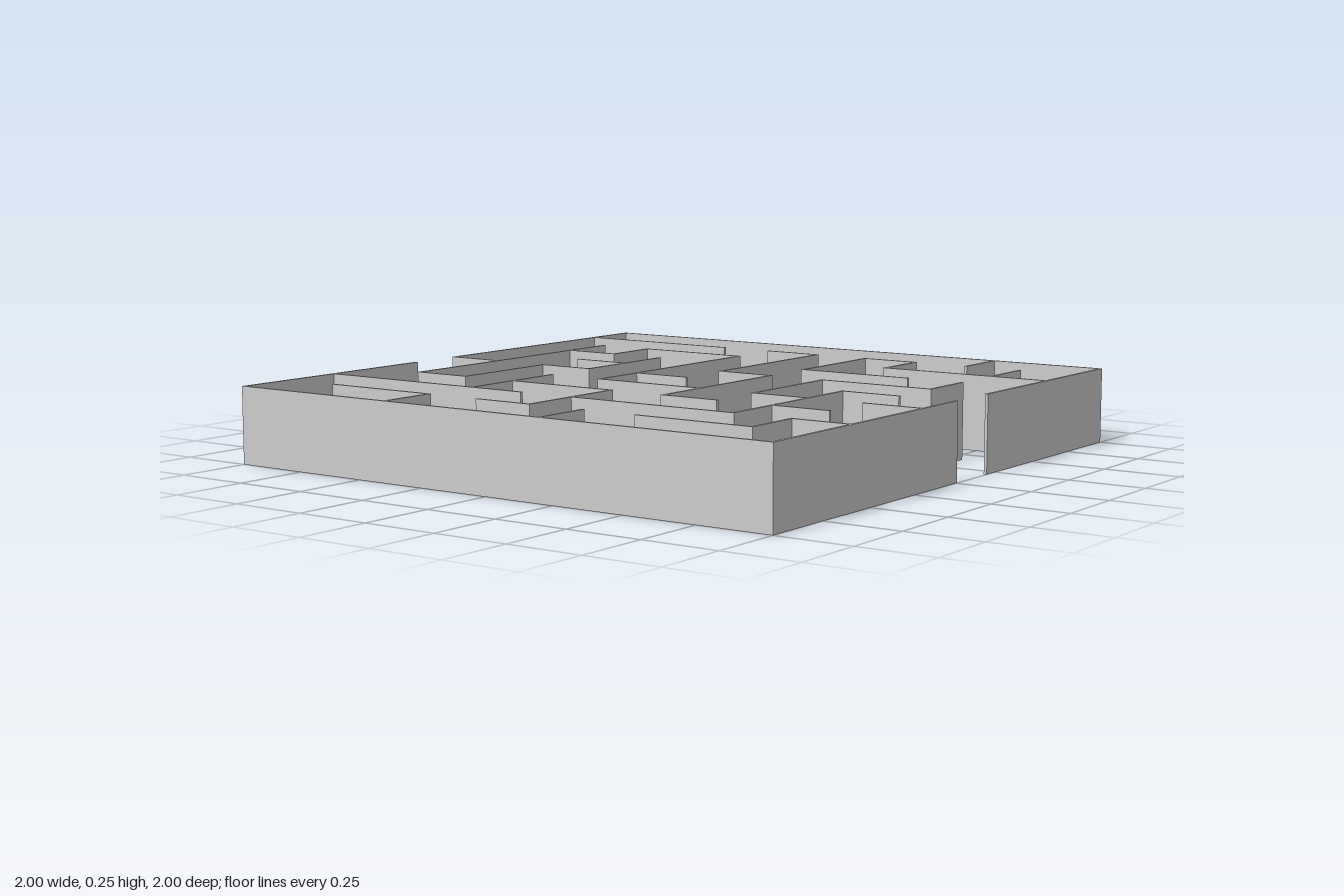
import * as THREE from 'three';

const CELLS = 10, THICK = 0.01, HEIGHT = 0.25;
const PITCH = (2 - THICK) / CELLS;

// Wall runs [start, end] on each grid line, counted in cells from the back left corner (-x, -z).
const ROWS = [ // along x, one entry per z line, back to front
  [[0, 4], [5, 10]],
  [[3, 8]],
  [[3, 5], [7, 8]],
  [[0, 1], [2, 4], [5, 7]],
  [[4, 8]],
  [[1, 3], [6, 9]],
  [[0, 1], [3, 6], [7, 9]],
  [[4, 6], [8, 9]],
  [[2, 5], [9, 10]],
  [[1, 2], [6, 7], [8, 9]],
  [[0, 5], [6, 10]],
];
const COLUMNS = [ // along z, one entry per x line, -x to +x
  [[0, 10]],
  [[1, 3], [4, 5], [7, 9]],
  [[0, 4], [5, 8], [9, 10]],
  [[1, 2], [3, 5], [6, 7], [8, 9]],
  [[4, 6], [7, 8], [9, 10]],
  [[0, 1], [2, 3], [4, 5], [8, 9]],
  [[2, 3], [5, 6], [7, 9]],
  [[1, 2], [6, 8]],
  [[2, 4], [7, 10]],
  [[0, 3], [4, 5], [6, 7]],
  [[0, 10]],
];

export function createModel() {
  const maze = new THREE.Group();
  maze.name = 'maze';
  const material = new THREE.MeshStandardMaterial({ color: 0xcccccc });
  const at = (n) => (n - CELLS / 2) * PITCH;

  // One upright slab per run, reaching half a thickness past its end nodes to close the corners.
  const addWalls = (lines, alongX) => lines.forEach((runs, line) => runs.forEach(([a, b]) => {
    const length = (b - a) * PITCH + THICK;
    const wall = new THREE.Mesh(
      new THREE.BoxGeometry(alongX ? length : THICK, HEIGHT, alongX ? THICK : length), material);
    const mid = at((a + b) / 2);
    wall.position.set(alongX ? mid : at(line), HEIGHT / 2, alongX ? at(line) : mid);
    wall.name = line === 0 || line === CELLS ? 'outerWall' : 'innerWall';
    maze.add(wall);
  }));

  addWalls(ROWS, true);
  addWalls(COLUMNS, false);
  return maze;
}
